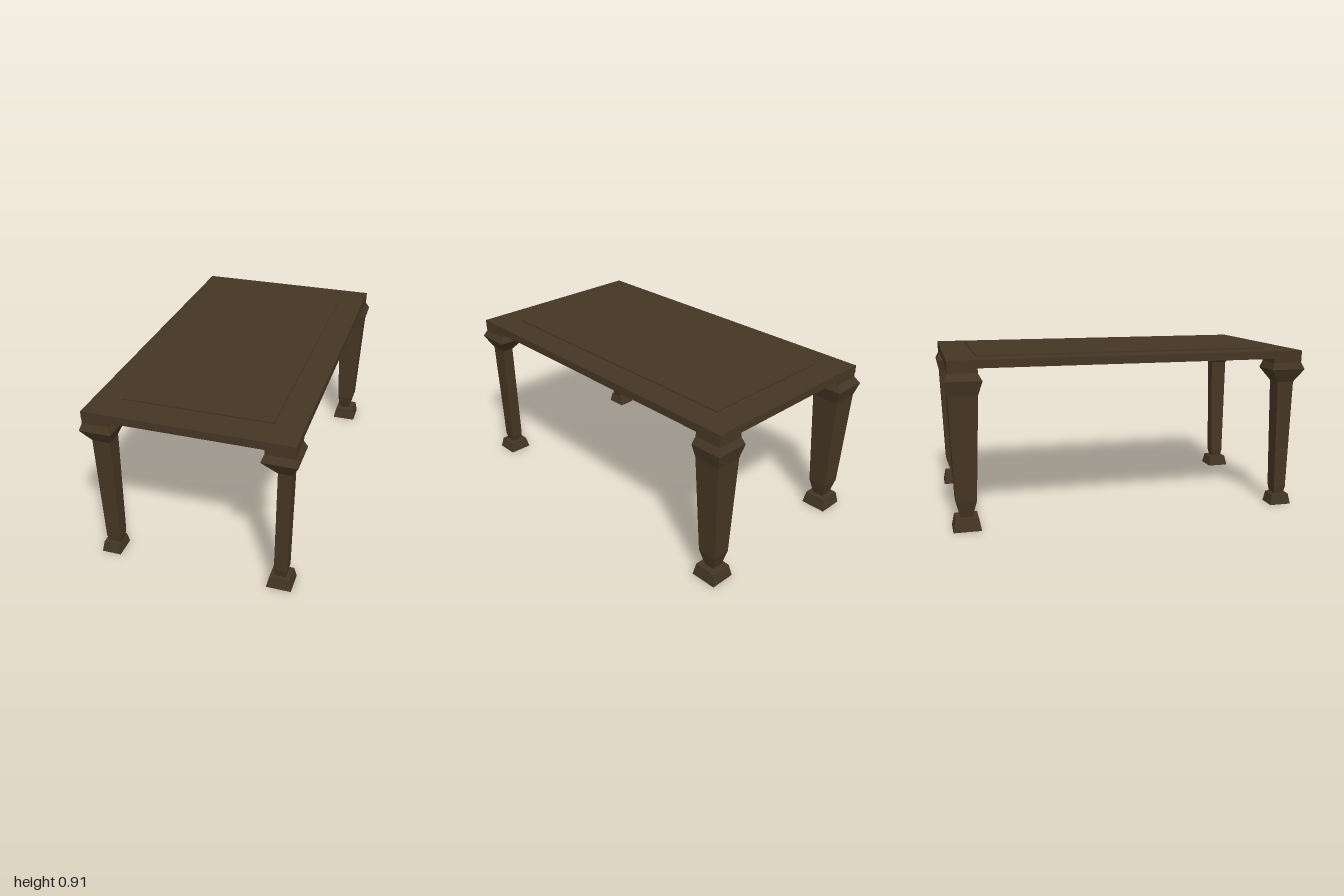
import * as THREE from 'three';

// Stack of rectangular sections [y, x0, x1, z0, z1], bottom to top, with flat caps
function loft(sections) {
  const rings = sections.map(([y, x0, x1, z0, z1]) => [
    [x0, y, z1], [x1, y, z1], [x1, y, z0], [x0, y, z0],
  ]);
  const pos = [];
  const quad = (a, b, c, d) => pos.push(...a, ...b, ...c, ...a, ...c, ...d);
  for (let i = 0; i < rings.length - 1; i++) {
    for (let k = 0; k < 4; k++) {
      const n = (k + 1) % 4;
      quad(rings[i][k], rings[i][n], rings[i + 1][n], rings[i + 1][k]);
    }
  }
  const lo = rings[0], hi = rings[rings.length - 1];
  quad(lo[3], lo[2], lo[1], lo[0]);
  quad(hi[0], hi[1], hi[2], hi[3]);
  const g = new THREE.BufferGeometry();
  g.setAttribute('position', new THREE.Float32BufferAttribute(pos, 3));
  g.computeVertexNormals();
  return g;
}

export function createModel() {
  const wood = new THREE.MeshStandardMaterial({ color: 0x453624, flatShading: true });
  wood.name = 'dark wood';
  const table = new THREE.Group();
  table.name = 'table';
  const add = (parent, name, geometry) => {
    const mesh = new THREE.Mesh(geometry, wood);
    mesh.name = name;
    parent.add(mesh);
    return mesh;
  };

  // Table top with a slightly raised centre panel
  add(table, 'tableTop', new THREE.BoxGeometry(1.09, 0.043, 1.957)).position.set(0, 0.8785, 0.003);
  add(table, 'raisedPanel', new THREE.BoxGeometry(0.79, 0.02, 1.63)).position.set(0, 0.897, 0);

  // Each leg: a splayed foot, a tapering shaft with a flared collar, and a top block
  const legs = [
    {
      name: 'backRightLeg',
      foot: [[0, -0.547, -0.4, -0.973, -0.825], [0.068, -0.535, -0.413, -0.96, -0.838]],
      shaft: [[0.06, -0.503, -0.44, -0.93, -0.87], [0.16, -0.527, -0.418, -0.955, -0.845],
        [0.72, -0.55, -0.395, -0.977, -0.823], [0.795, -0.57, -0.375, -1, -0.8]],
      block: [-0.544, -0.4, -0.974, -0.82],
    },
    {
      name: 'backLeftLeg',
      foot: [[0, 0.405, 0.545, -0.973, -0.825], [0.068, 0.418, 0.533, -0.96, -0.838]],
      shaft: [[0.06, 0.437, 0.5, -0.925, -0.873], [0.16, 0.425, 0.524, -0.955, -0.845],
        [0.72, 0.402, 0.548, -0.975, -0.825], [0.795, 0.38, 0.567, -0.992, -0.815]],
      block: [0.395, 0.544, -0.974, -0.82],
    },
    {
      name: 'frontRightLeg',
      foot: [[0, -0.525, -0.418, 0.84, 0.963], [0.06, -0.514, -0.427, 0.852, 0.952]],
      shaft: [[0.05, -0.493, -0.43, 0.876, 0.93], [0.1, -0.502, -0.42, 0.868, 0.938],
        [0.72, -0.514, -0.416, 0.858, 0.952], [0.795, -0.556, -0.385, 0.802, 0.998]],
      block: [-0.544, -0.4, 0.815, 0.981],
    },
    {
      name: 'frontLeftLeg',
      foot: [[0, 0.41, 0.543, 0.838, 0.967], [0.06, 0.423, 0.53, 0.85, 0.955]],
      shaft: [[0.05, 0.45, 0.505, 0.876, 0.93], [0.1, 0.443, 0.513, 0.865, 0.94],
        [0.72, 0.455, 0.522, 0.856, 0.955], [0.795, 0.38, 0.562, 0.8, 1]],
      block: [0.395, 0.544, 0.815, 0.981],
    },
  ];
  for (const { name, foot, shaft, block } of legs) {
    const leg = new THREE.Group();
    leg.name = name;
    add(leg, 'foot', loft(foot));
    add(leg, 'shaft', loft([...shaft, [0.832, ...block], [0.895, ...block]]));
    table.add(leg);
  }
  return table;
}
